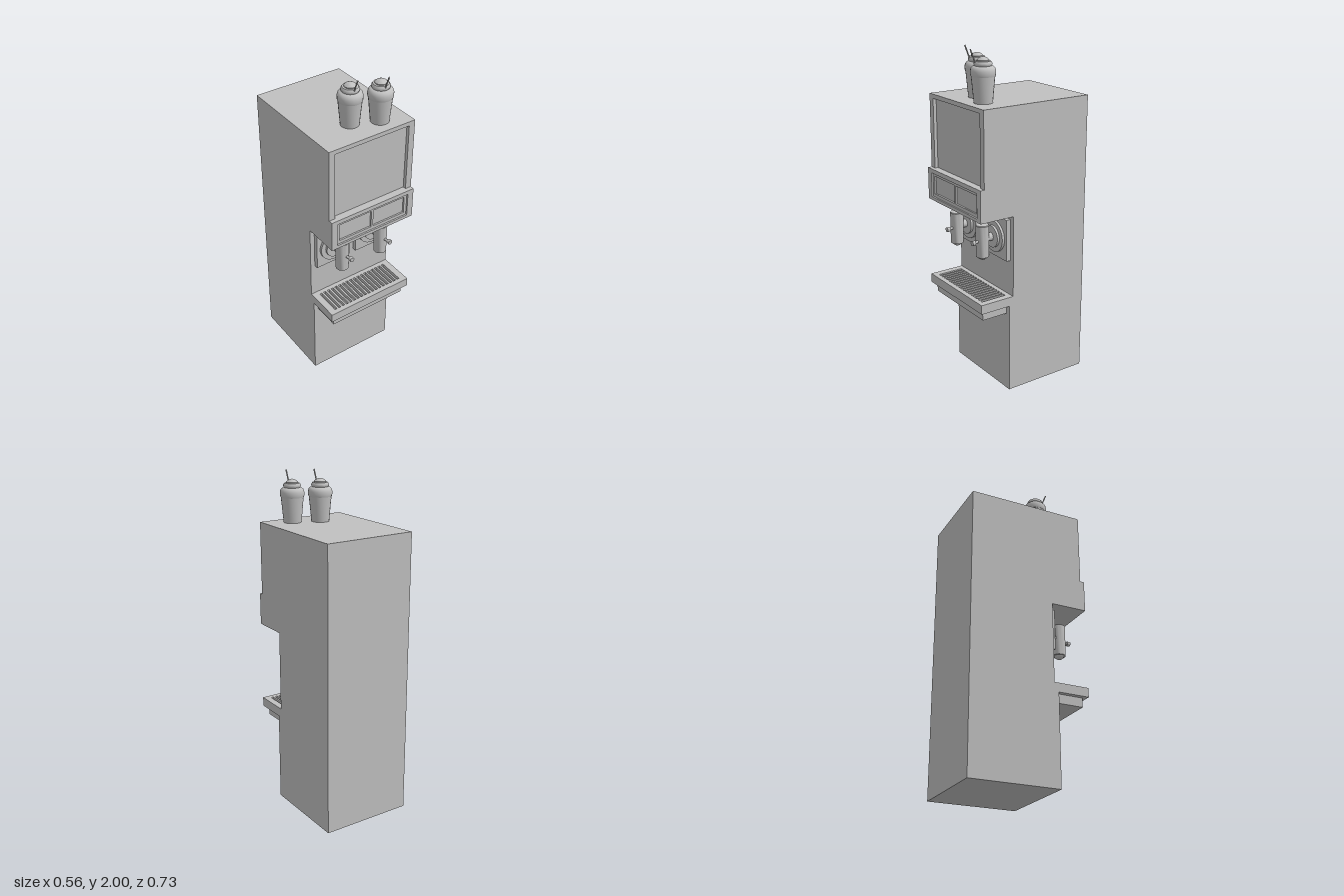
import * as THREE from 'three';
import { toCreasedNormals } from 'three/addons/utils/BufferGeometryUtils.js';

const grey = new THREE.MeshStandardMaterial({ color: 0xc0c0c0 });
grey.name = 'light grey';

const W = 0.278; // half width of the cabinet

function add(parent, name, geometry, x = 0, y = 0, z = 0) {
  const mesh = new THREE.Mesh(geometry, grey);
  mesh.name = name;
  mesh.position.set(x, y, z);
  parent.add(mesh);
  return mesh;
}

// Box given by its limits
function box(parent, name, x0, x1, y0, y1, z0, z1) {
  return add(parent, name, new THREE.BoxGeometry(x1 - x0, y1 - y0, z1 - z0),
    (x0 + x1) / 2, (y0 + y1) / 2, (z0 + z1) / 2);
}

const polygon = (pts) => new THREE.Shape(pts.map(([x, y]) => new THREE.Vector2(x, y)));
const rect = (x0, x1, y0, y1) => polygon([[x0, y0], [x1, y0], [x1, y1], [x0, y1]]);

// Plate in the x-y plane with cut-outs
function plate(shape, depth, holes = []) {
  shape.holes.push(...holes);
  return new THREE.ExtrudeGeometry(shape, { depth, bevelEnabled: false });
}

// Thin rod between two points
function rod(parent, name, a, b, radius) {
  const curve = new THREE.LineCurve3(new THREE.Vector3(...a), new THREE.Vector3(...b));
  const dir = curve.v2.clone().sub(curve.v1);
  const mesh = add(parent, name, new THREE.CylinderGeometry(radius, radius, dir.length(), 12));
  mesh.position.copy(curve.getPoint(0.5));
  mesh.quaternion.setFromUnitVectors(new THREE.Vector3(0, 1, 0), dir.normalize());
  return mesh;
}

// Cylinder lying along z, from z0 to z1
function disc(parent, name, r, z0, z1) {
  const geo = new THREE.CylinderGeometry(r, r, z1 - z0, 32).rotateX(Math.PI / 2);
  return add(parent, name, geo, 0, 0, (z0 + z1) / 2);
}

function lathe(pts, segments = 20) {
  const geo = new THREE.LatheGeometry(pts.map(([r, y]) => new THREE.Vector2(r, y)), segments);
  return toCreasedNormals(geo, 0.6);
}

function createCabinet() {
  const g = new THREE.Group();
  g.name = 'cabinet';

  // Side profile (z, y) drawn across the width
  const profile = polygon([
    [-0.365, 0], [0.175, 0], [0.175, 0.545], [0.148, 0.545], [0.148, 1.085],
    [0.345, 1.085], [0.345, 1.275], [0.32, 1.275], [0.32, 1.71], [-0.365, 1.71],
  ]);
  const body = plate(profile, 2 * W).rotateY(-Math.PI / 2);
  add(g, 'body', body, W);

  // Border around the recessed upper sign panel
  const border = polygon([
    [-W, 1.275], [-0.24, 1.275], [-0.24, 1.685], [0.24, 1.685],
    [0.24, 1.275], [W, 1.275], [W, 1.71], [-W, 1.71],
  ]);
  add(g, 'signBorder', plate(border, 0.02), 0, 0, 0.32);

  // Stepped frame with two recessed displays
  add(g, 'displayMullions', plate(rect(-W, W, 1.085, 1.275), 0.01,
    [rect(-0.222, -0.007, 1.125, 1.232), rect(0.007, 0.222, 1.125, 1.232)]), 0, 0, 0.345);
  add(g, 'displayFrame', plate(rect(-W, W, 1.085, 1.275), 0.01,
    [rect(-0.24, 0.24, 1.105, 1.25)]), 0, 0, 0.355);
  return g;
}

function createTray() {
  const g = new THREE.Group();
  g.name = 'dripTray';
  box(g, 'trayBase', -W, W, 0.545, 0.58, 0.148, 0.365);
  box(g, 'traySupport', -0.25, 0.25, 0.49, 0.545, 0.17, 0.34);

  // Slotted grille, drawn as x and -z and laid flat
  const slots = [];
  const count = 18, pitch = 0.027;
  for (let i = 0; i < count; i++) {
    const x = (i - (count - 1) / 2) * pitch;
    slots.push(rect(x - 0.008, x + 0.008, -0.335, -0.175));
  }
  const grille = plate(rect(-W, W, -0.365, -0.148), 0.02, slots).rotateX(-Math.PI / 2);
  add(g, 'trayGrille', grille, 0, 0.58, 0);
  return g;
}

function createTap(x) {
  const g = new THREE.Group();
  g.name = 'tap';
  g.position.set(x, 0.937, 0);
  box(g, 'backPlate', -0.114, 0.114, -0.124, 0.124, 0.148, 0.175);
  disc(g, 'outerFlange', 0.094, 0.175, 0.19);
  disc(g, 'innerFlange', 0.065, 0.19, 0.204);
  disc(g, 'stem', 0.024, 0.204, 0.24);

  // Upright valve with a rounded nozzle below
  add(g, 'valve', lathe([
    [0, -0.127], [0.014, -0.125], [0.025, -0.117], [0.029, -0.107],
    [0.038, -0.107], [0.039, 0.08], [0.036, 0.084], [0, 0.084],
  ], 24), 0, 0, 0.262);

  // Lever and its knob
  rod(g, 'lever', [0, -0.01, 0.27], [0.014, -0.01, 0.33], 0.008);
  const knob = disc(g, 'leverKnob', 0.014, 0.322, 0.341);
  knob.position.x = 0.014;
  knob.position.y = -0.01;
  return g;
}

function createDrink(x, z) {
  const g = new THREE.Group();
  g.name = 'drink';
  g.position.set(x, 1.71, z);
  add(g, 'cup', lathe([[0, 0], [0.052, 0], [0.066, 0.148], [0, 0.148]]));
  // Swirled topping in three tiers
  add(g, 'topping', lathe([
    [0, 0.145], [0.067, 0.145], [0.07, 0.155], [0.07, 0.175], [0.066, 0.188], [0.057, 0.197],
    [0.047, 0.2], [0.051, 0.208], [0.05, 0.216], [0.044, 0.225],
    [0.034, 0.226], [0.034, 0.231], [0.026, 0.239], [0.012, 0.246], [0, 0.248],
  ]));
  rod(g, 'straw', [-0.007, 0.19, 0.034], [-0.007, 0.29, 0.074], 0.004);
  return g;
}

export function createModel() {
  const model = new THREE.Group();
  model.name = 'drinkDispenser';
  model.add(createCabinet(), createTray());
  for (const x of [-0.136, 0.136]) model.add(createTap(x));
  model.add(createDrink(-0.031, 0.175), createDrink(0.12, 0.237));
  return model;
}
